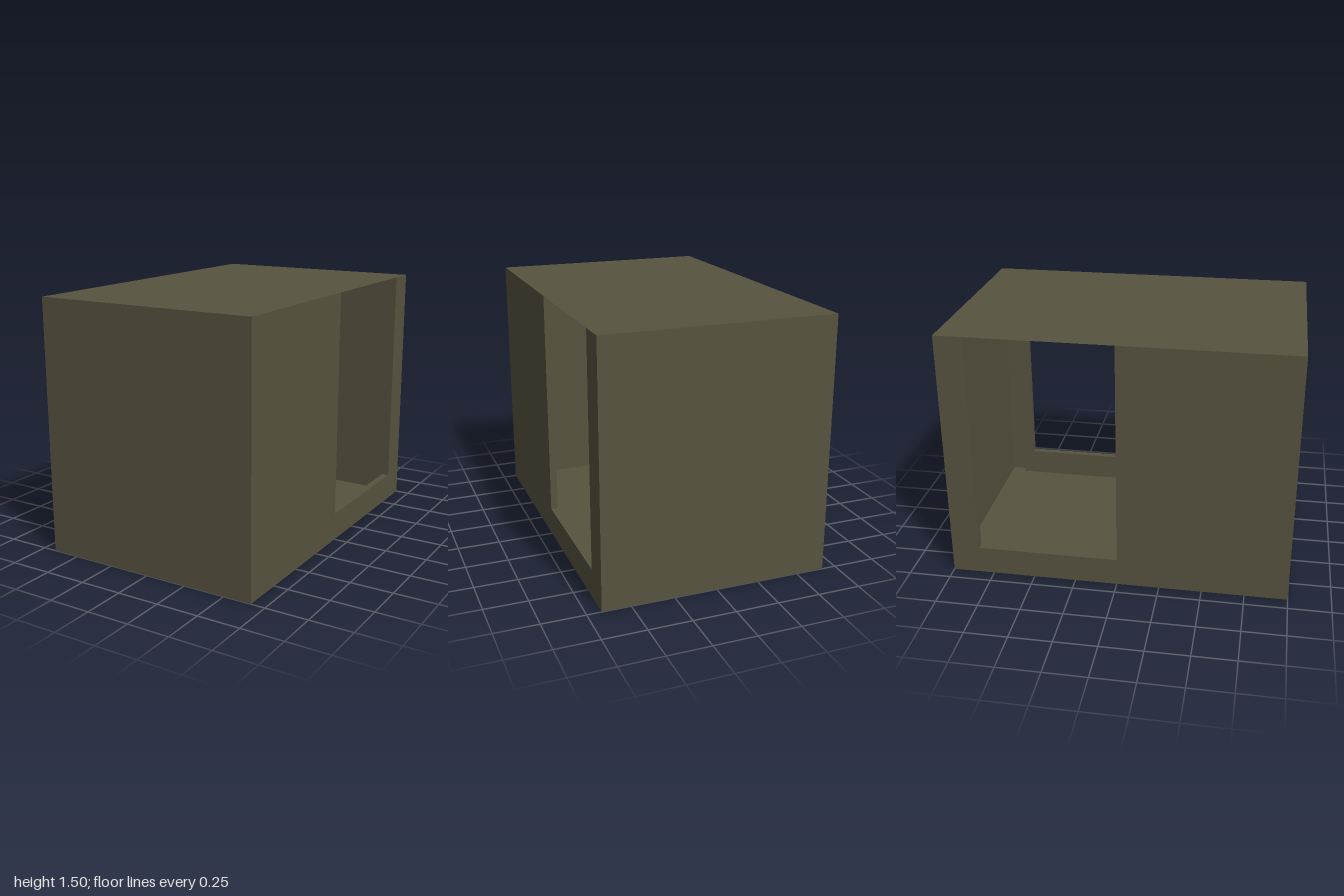
import * as THREE from 'three';

export function createModel() {
  const group = new THREE.Group();
  const olive = new THREE.MeshStandardMaterial({ color: 0x575340, side: THREE.DoubleSide });
  olive.name = 'olive';

  const W = 4 / 3, H = 1.5, D = 2;   // overall size
  const T = 0.042;                   // side wall thickness
  const E = 0.91;                    // half length of the thick side walls
  const SILL = 1 / 6, BACK = -5 / 6; // doorway bottom and rear edge

  // Thin sheet, placed and turned
  function sheet(name, w, h, pos, rx = 0, ry = 0) {
    const mesh = new THREE.Mesh(new THREE.PlaneGeometry(w, h), olive);
    mesh.name = name;
    mesh.position.set(...pos);
    mesh.rotation.set(rx, ry, 0);
    group.add(mesh);
  }

  // Shell
  sheet('frontWall', W, H, [0, H / 2, D / 2]);
  sheet('backWall', W, H, [0, H / 2, -D / 2], 0, Math.PI);
  sheet('roof', W, D, [0, H, 0], -Math.PI / 2);
  sheet('floor', W, D, [0, 0, 0], Math.PI / 2);

  // U-shaped side wall around the doorway: shape x is -z, extruded along x
  const profile = new THREE.Shape([
    [-E, 0], [E, 0], [E, H], [-BACK, H], [-BACK, SILL], [0, SILL], [0, H], [-E, H],
  ].map(([x, y]) => new THREE.Vector2(x, y)));
  const wall = new THREE.ExtrudeGeometry(profile, { depth: T, bevelEnabled: false });
  wall.rotateY(Math.PI / 2);

  for (const s of [1, -1]) {
    const name = s > 0 ? 'left' : 'right';
    const mesh = new THREE.Mesh(wall, olive);
    mesh.name = name + 'SideWall';
    mesh.position.x = s > 0 ? W / 2 - T : -W / 2;
    group.add(mesh);
    // Thin strips closing the corners
    for (const e of [1, -1]) {
      sheet(name + (e > 0 ? 'FrontCorner' : 'BackCorner'), D / 2 - E, H,
        [s * W / 2, H / 2, e * (D / 2 + E) / 2], 0, s * Math.PI / 2);
    }
  }
  return group;
}
